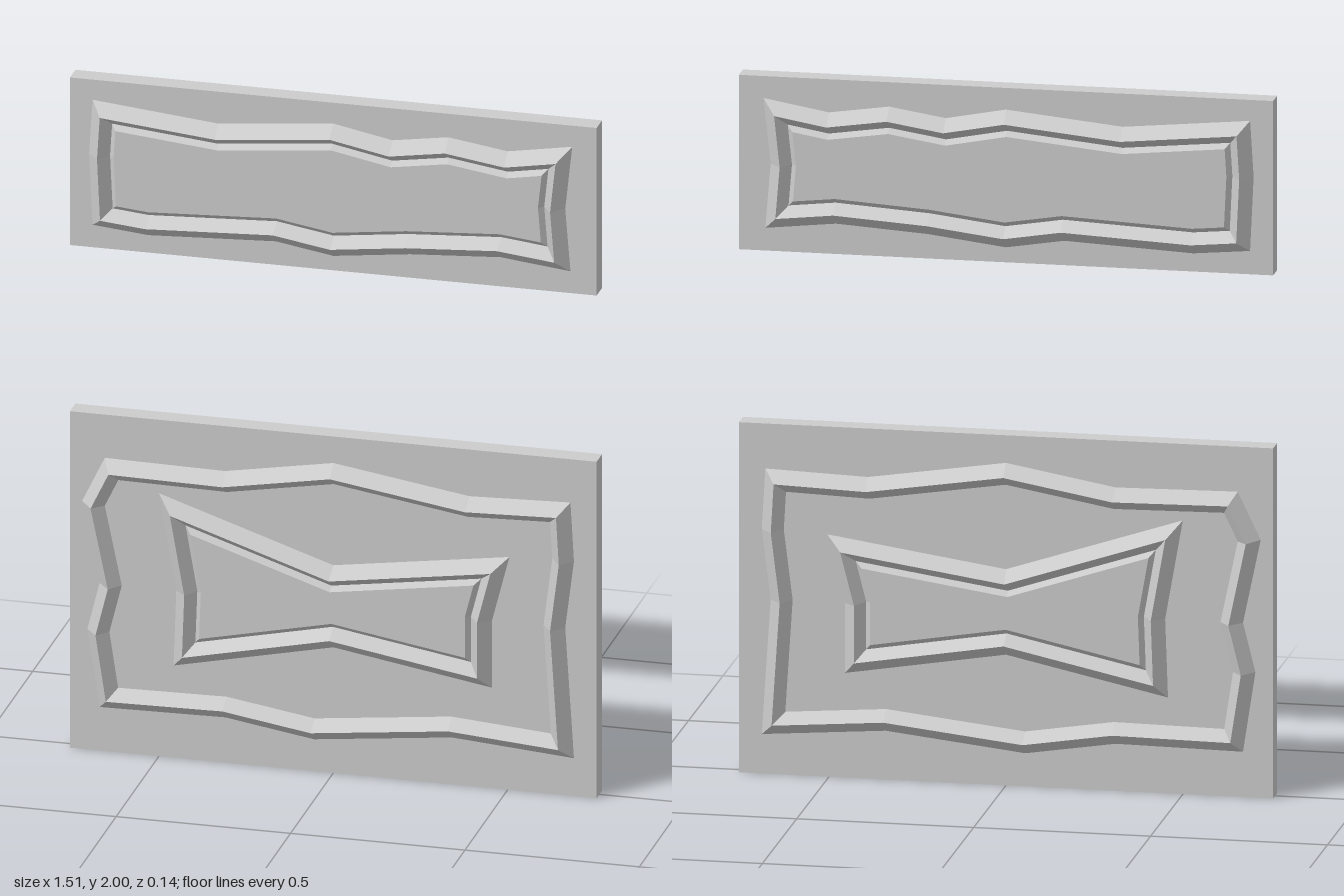
import * as THREE from 'three';

const FACE = 0.03;   // half thickness of the slabs
const RIDGE = 0.07;  // crest of the raised borders
const PANEL = 0.045; // raised inner panel

// Outer outlines, clockwise seen from the front
const upperOutline = [
  [-0.69, 1.94], [-0.33, 1.905], [0, 1.938], [0.17, 1.905], [0.33, 1.93], [0.5, 1.905], [0.685, 1.937],
  [0.665, 1.75], [0.68, 1.565],
  [0.48, 1.587], [0.22, 1.57], [0, 1.543], [-0.165, 1.57], [-0.53, 1.552], [-0.69, 1.567],
  [-0.7, 1.78],
];
const frameOutline = [
  [-0.655, 0.875], [-0.31, 0.87], [0, 0.925], [0.39, 0.865], [0.68, 0.875],
  [0.69, 0.7], [0.665, 0.5], [0.69, 0.113],
  [0.34, 0.14], [-0.055, 0.095], [-0.31, 0.135], [-0.67, 0.13],
  [-0.705, 0.36], [-0.67, 0.5], [-0.72, 0.74],
];
const bowOutline = [
  [-0.5, 0.785], [0, 0.62], [0.505, 0.695], [0.455, 0.5],
  [0.455, 0.3], [0, 0.375], [-0.458, 0.275], [-0.45, 0.5],
];

// Mitred inward offset of a clockwise outline
function inset(points, d) {
  const n = points.length;
  const normal = (a, b) => new THREE.Vector2(b[1] - a[1], a[0] - b[0]).normalize();
  return points.map((p, i) => {
    const n1 = normal(points[(i + n - 1) % n], p);
    const n2 = normal(p, points[(i + 1) % n]);
    const k = d / (1 + n1.dot(n2));
    return [p[0] + (n1.x + n2.x) * k, p[1] + (n1.y + n2.y) * k];
  });
}

// Loops stepped inward by profile [inset, height]; side = 1 front, -1 back
function reliefGeometry(outline, profile, side, capped) {
  const n = outline.length;
  const positions = [];
  const index = [];
  const tri = (a, b, c) => (side > 0 ? index.push(a, b, c) : index.push(a, c, b));
  for (const [d, z] of profile) {
    for (const [x, y] of inset(outline, d)) positions.push(x, y, z * side);
  }
  for (let r = 0; r < profile.length - 1; r++) {
    for (let i = 0; i < n; i++) {
      const j = (i + 1) % n;
      const o = r * n, q = o + n;
      tri(o + i, q + i, o + j);
      tri(o + j, q + i, q + j);
    }
  }
  // Flat panel inside the last loop
  if (capped) {
    const last = inset(outline, profile[profile.length - 1][0]);
    const loop = last.map(([x, y]) => new THREE.Vector2(x, y)).reverse();
    const base = (profile.length - 1) * n;
    const at = (k) => base + n - 1 - k;
    for (const [a, b, c] of THREE.ShapeUtils.triangulateShape(loop, [])) tri(at(a), at(b), at(c));
  }
  const indexed = new THREE.BufferGeometry();
  indexed.setAttribute('position', new THREE.Float32BufferAttribute(positions, 3));
  indexed.setIndex(index);
  const geometry = indexed.toNonIndexed();
  geometry.computeVertexNormals();
  return geometry;
}

export function createModel() {
  const group = new THREE.Group();
  group.name = 'carvedPanels';
  const material = new THREE.MeshStandardMaterial({ color: 0xcccccc, flatShading: true });

  const add = (name, geometry) => {
    const mesh = new THREE.Mesh(geometry, material);
    mesh.name = name;
    group.add(mesh);
    return mesh;
  };

  // Slabs
  add('lowerSlab', new THREE.BoxGeometry(1.51, 1.004, FACE * 2)).position.y = 0.502;
  add('upperSlab', new THREE.BoxGeometry(1.51, 0.5, FACE * 2)).position.y = 1.75;

  // Raised borders, repeated on both faces
  const plain = [[0, FACE], [0.033, RIDGE], [0.062, FACE]];
  const panelled = [[0, FACE], [0.033, RIDGE], [0.06, FACE], [0.074, PANEL]];
  for (const [side, label] of [[1, 'Front'], [-1, 'Back']]) {
    add('outerBorder' + label, reliefGeometry(frameOutline, plain, side, false));
    add('bowTieRelief' + label, reliefGeometry(bowOutline, panelled, side, true));
    add('upperRelief' + label, reliefGeometry(upperOutline, panelled, side, true));
  }
  return group;
}
